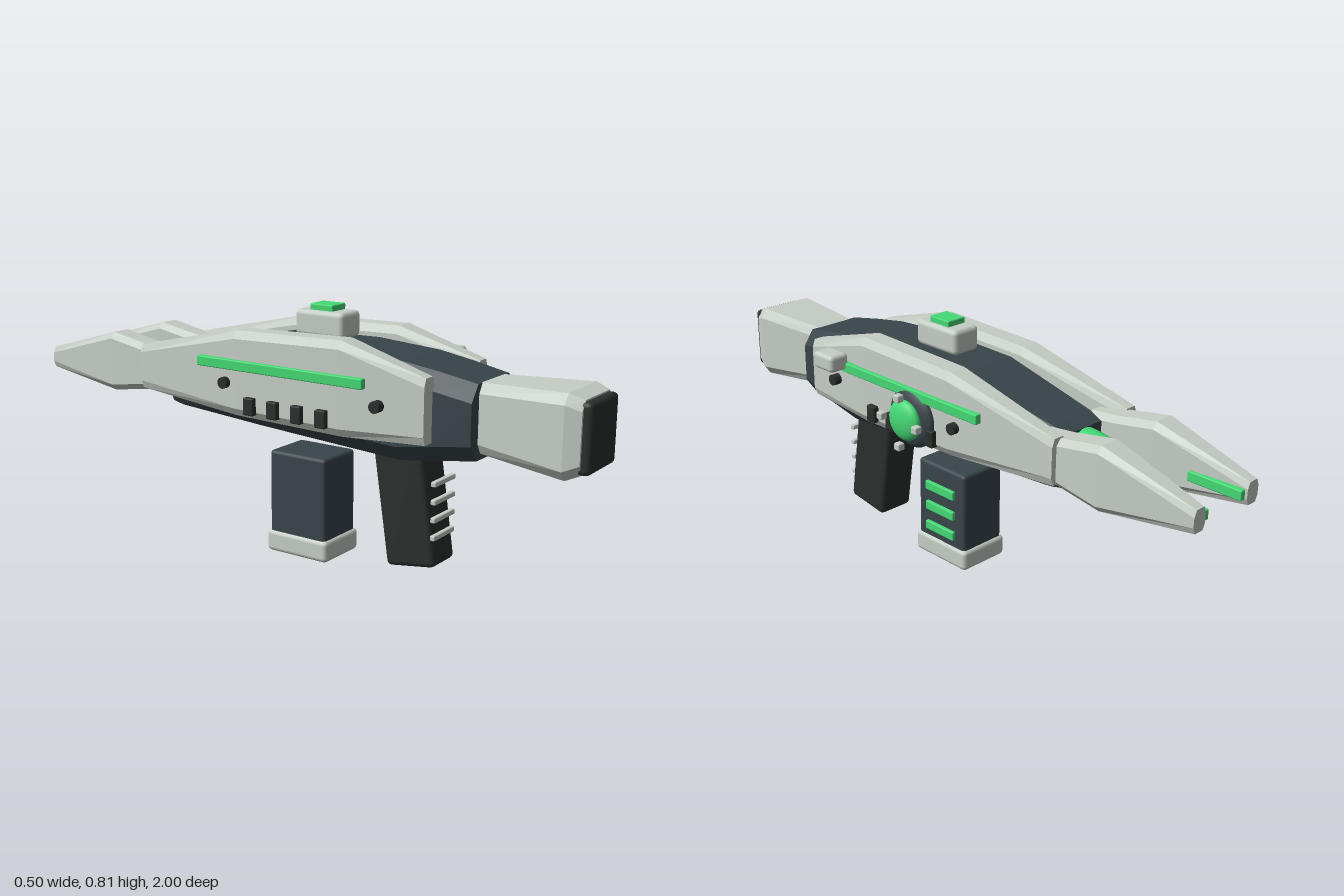
import * as THREE from 'three';
import { RoundedBoxGeometry } from 'three/addons/geometries/RoundedBoxGeometry.js';

const mat = (color, flatShading = false) => new THREE.MeshStandardMaterial({ color, flatShading });
const PALE = 0xc6cec6, SLATE = 0x39454a, BLACK = 0x2a302e, GREEN = 0x45d975;
const AXIS = -0.0275; // x of the body's mirror plane

// Lofts chamfered rectangles; section = [z, halfWidth, yBottom, yTop], ordered from front to back
function loft(sections, cut, cy) {
  const rings = sections.map(([z, w, b, t]) => {
    const i = w * (1 - cut);
    return [[i, b], [w, b + cy], [w, t - cy], [i, t], [-i, t], [-w, t - cy], [-w, b + cy], [-i, b]]
      .map(([x, y]) => [x, y, z]);
  });
  const pos = [];
  const tri = (...pts) => pts.forEach((p) => pos.push(...p));
  for (let s = 0; s < rings.length - 1; s++) {
    const a = rings[s], b = rings[s + 1];
    for (let i = 0; i < 8; i++) {
      const j = (i + 1) % 8;
      tri(a[i], b[i], b[j]);
      tri(a[i], b[j], a[j]);
    }
  }
  const first = rings[0], last = rings[rings.length - 1];
  for (let i = 1; i < 7; i++) {
    tri(first[0], first[i], first[i + 1]);
    tri(last[0], last[i + 1], last[i]);
  }
  const g = new THREE.BufferGeometry();
  g.setAttribute('position', new THREE.Float32BufferAttribute(pos, 3));
  g.computeVertexNormals();
  return g;
}

export function createModel() {
  const model = new THREE.Group();
  model.name = 'blaster';

  const add = (name, geometry, color, x, y, z, flat = false) => {
    const mesh = new THREE.Mesh(geometry, mat(color, flat));
    mesh.name = name;
    mesh.position.set(x, y, z);
    model.add(mesh);
    return mesh;
  };
  const box = (name, color, w, h, d, x, y, z, r = 0.004) =>
    add(name, new RoundedBoxGeometry(w, h, d, 2, r), color, x, y, z);
  const ball = (name, color, rx, ry, rz, x, y, z) =>
    add(name, new THREE.SphereGeometry(1, 32, 20), color, x, y, z).scale.set(rx, ry, rz);

  // Central body, stock and butt pad
  add('body', loft([
    [0.66, 0.13, 0.425, 0.65], [0.54, 0.14, 0.41, 0.672], [0.42, 0.15, 0.393, 0.69],
    [0.2, 0.152, 0.405, 0.705], [-0.1, 0.145, 0.42, 0.7], [-0.45, 0.115, 0.436, 0.63],
    [-0.5, 0.1, 0.442, 0.615],
  ], 0.28, 0.05), SLATE, AXIS, 0, 0, true);
  add('stock', loft([
    [0.975, 0.1, 0.435, 0.645], [0.93, 0.115, 0.415, 0.66], [0.64, 0.085, 0.445, 0.65],
  ], 0.2, 0.03), PALE, AXIS, 0, 0, true);
  box('buttPad', BLACK, 0.185, 0.205, 0.045, AXIS, 0.538, 0.9775, 0.015);

  // Glowing core at the back end
  ball('energyCore', GREEN, 0.068, 0.075, 0.2, AXIS, 0.54, -0.48);

  // Mirrored side rails, prongs and their trim
  const railGeo = loft([
    [0.54, 0.028, 0.47, 0.665], [0.26, 0.046, 0.457, 0.745], [-0.13, 0.046, 0.465, 0.735],
    [-0.54, 0.027, 0.5, 0.645],
  ], 0.35, 0.025);
  const prongGeo = loft([
    [-0.45, 0.045, 0.5, 0.63], [-0.54, 0.047, 0.49, 0.64], [-0.69, 0.05, 0.468, 0.667],
    [-1, 0.025, 0.51, 0.58],
  ], 0.35, 0.02);
  for (const [side, s] of [['left', 1], ['right', -1]]) {
    const at = (offset) => AXIS + s * offset;
    add(side + 'Rail', railGeo, PALE, at(0.158), 0, 0, true);
    add(side + 'Prong', prongGeo, PALE, at(0.12), 0, 0, true);
    box(side + 'ProngStrip', GREEN, 0.02, 0.032, 0.18, at(0.083), 0.545, -0.905);
    box(side + 'RailStrip', GREEN, 0.03, 0.032, 0.62, at(0.203), 0.63, 0.04);
    for (const z of [0.395, -0.165]) {
      const stud = add(side + 'Stud', new THREE.CylinderGeometry(0.018, 0.018, 0.03, 20), BLACK, at(0.207), 0.57, z);
      stud.rotation.z = Math.PI / 2;
    }
    for (let i = 0; i < 4; i++)
      box(side + 'Vent', BLACK, 0.03, 0.055, 0.038, at(0.207), 0.507, 0.205 - i * 0.09);
  }

  // Dial on the left side
  ball('dialRim', SLATE, 0.034, 0.097, 0.097, 0.177, 0.548, 0.02);
  ball('dialLens', GREEN, 0.028, 0.066, 0.066, 0.21, 0.548, 0.02);
  for (let i = 0; i < 4; i++) {
    const a = i * Math.PI / 2;
    box('dialLug', PALE, 0.025, 0.024, 0.024, 0.235, 0.548 + 0.08 * Math.cos(a), 0.02 + 0.08 * Math.sin(a));
  }
  box('sideSwitch', PALE, 0.073, 0.056, 0.096, 0.212, 0.651, 0.375, 0.014);

  // Top sight
  box('sight', PALE, 0.105, 0.082, 0.18, AXIS, 0.755, 0.08, 0.016);
  box('sightLight', GREEN, 0.072, 0.03, 0.085, AXIS, 0.8, 0.08);

  // Slanted grip with ribs
  const grip = box('grip', BLACK, 0.133, 0.39, 0.168, AXIS, 0.24, 0.402, 0.016);
  grip.rotation.x = -0.15;
  for (let i = 0; i < 4; i++)
    box('gripRib', PALE, 0.122, 0.017, 0.017, AXIS, 0.32 - i * 0.056, 0.504);

  // Magazine with base plate and side lights
  box('magazine', SLATE, 0.17, 0.29, 0.215, AXIS, 0.193, 0.022, 0.012);
  box('magazineBase', PALE, 0.186, 0.071, 0.235, AXIS, 0.0355, 0.022, 0.015);
  for (let i = 0; i < 3; i++)
    box('magazineLight', GREEN, 0.03, 0.031, 0.13, 0.054, 0.257 - i * 0.073, 0.022);

  return model;
}
